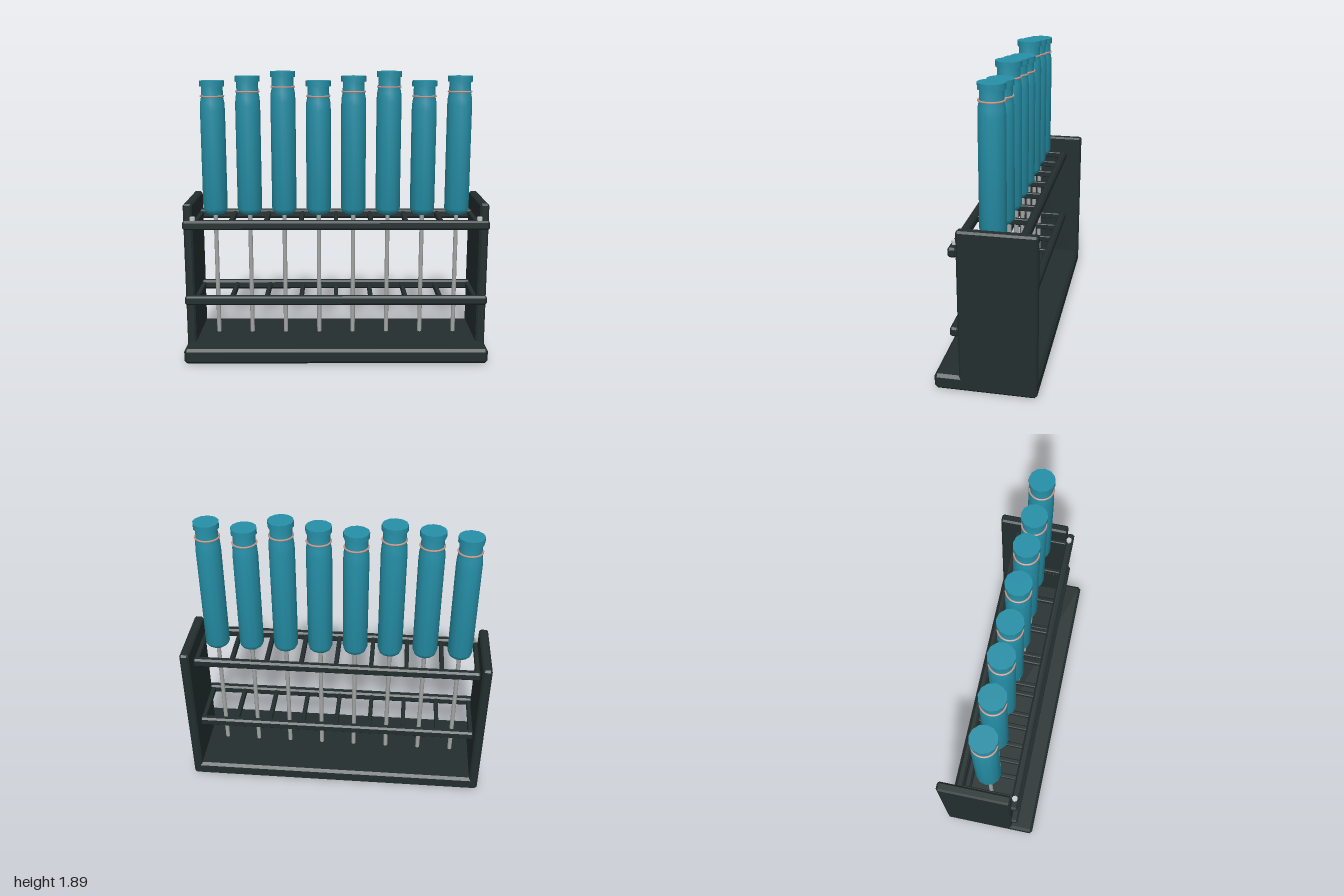
import * as THREE from 'three';
import { toCreasedNormals } from 'three/addons/utils/BufferGeometryUtils.js';
import { ConvexGeometry } from 'three/addons/geometries/ConvexGeometry.js';

const material = (name, color) => {
  const m = new THREE.MeshStandardMaterial({ color });
  m.name = name;
  return m;
};

// Box with all edges chamfered by c, given as [min, max] per axis
function chamferBox(x, y, z, c) {
  const pts = [];
  for (const i of [0, 1]) for (const j of [0, 1]) for (const k of [0, 1]) {
    const p = new THREE.Vector3(x[i], y[j], z[k]);
    const d = [c * (1 - 2 * i), c * (1 - 2 * j), c * (1 - 2 * k)];
    pts.push(
      p.clone().add(new THREE.Vector3(0, d[1], d[2])),
      p.clone().add(new THREE.Vector3(d[0], 0, d[2])),
      p.clone().add(new THREE.Vector3(d[0], d[1], 0)));
  }
  return new ConvexGeometry(pts);
}

export function createModel() {
  const frame = material('dark frame', 0x232e2e);
  const teal = material('teal tube', 0x258fa7);
  const steel = material('steel rod', 0xa4a6a6);
  const copper = material('copper ring', 0xc8988a);
  const bright = material('bright screw', 0xc8cccc);

  const model = new THREE.Group();
  model.name = 'tubeRack';
  const add = (parent, name, geometry, mat, x = 0, y = 0, z = 0) => {
    const mesh = new THREE.Mesh(geometry, mat);
    mesh.name = name;
    mesh.position.set(x, y, z);
    parent.add(mesh);
    return mesh;
  };

  const count = 8, pitch = 0.2315, tubeZ = -0.018;

  // Base and end panels
  add(model, 'base', chamferBox([-1, 1], [0, 0.1], [-0.315, 0.315], 0.018), frame);
  for (const s of [-1, 1]) {
    const x = s < 0 ? [-1, -0.94] : [0.94, 1];
    add(model, s < 0 ? 'rightPanel' : 'leftPanel',
      chamferBox(x, [0.01, 1.045], [-0.315, 0.16], 0.012), frame);
  }

  // Two ladder-like shelves
  for (const [level, y] of [['lower', 0.37], ['upper', 0.88]]) {
    const shelf = new THREE.Group();
    shelf.name = level + 'Shelf';
    model.add(shelf);
    add(shelf, 'frontRail', chamferBox([-1, 1], [y, y + 0.06], [0.155, 0.208], 0.012), frame);
    add(shelf, 'backRail', chamferBox([-0.945, 0.945], [y, y + 0.06], [-0.21, -0.16], 0.012), frame);
    const bar = chamferBox([-0.014, 0.014], [y + 0.01, y + 0.05], [-0.17, 0.165], 0.005);
    for (let i = 0; i <= count; i++) add(shelf, 'crossBar', bar, frame, (i - count / 2) * pitch);
  }

  // Screws on the ends of the upper front rail
  for (const s of [-1, 1])
    add(model, 'screw', new THREE.CylinderGeometry(0.018, 0.018, 0.025, 8), bright, s * 0.935, 0.95, 0.178);

  // Tubes on rods, in three repeating heights
  const cap = new THREE.CylinderGeometry(0.082, 0.082, 0.037, 12);
  const ring = new THREE.TorusGeometry(0.075, 0.006, 6, 24).rotateX(Math.PI / 2);
  const rod = new THREE.CylinderGeometry(0.0145, 0.0145, 0.86, 8);
  for (let i = 0; i < count; i++) {
    const top = 1.83 + 0.03 * (i % 3);
    const tube = new THREE.Group();
    tube.name = 'tube';
    tube.position.set((i - (count - 1) / 2) * pitch, 0, tubeZ);
    model.add(tube);
    const profile = [
      [0, 0.945], [0.055, 0.945], [0.073, 0.96], [0.082, 0.985], [0.082, top - 0.19],
      [0.079, top - 0.14], [0.072, top - 0.105], [0.071, top - 0.03],
    ].map(([r, y]) => new THREE.Vector2(r, y));
    add(tube, 'tubeBody', toCreasedNormals(new THREE.LatheGeometry(profile, 12), 0.75), teal);
    add(tube, 'cap', cap, teal, 0, top - 0.0185);
    add(tube, 'neckRing', ring, copper, 0, top - 0.1);
    add(tube, 'rod', rod, steel, 0, 0.54);
  }
  return model;
}
